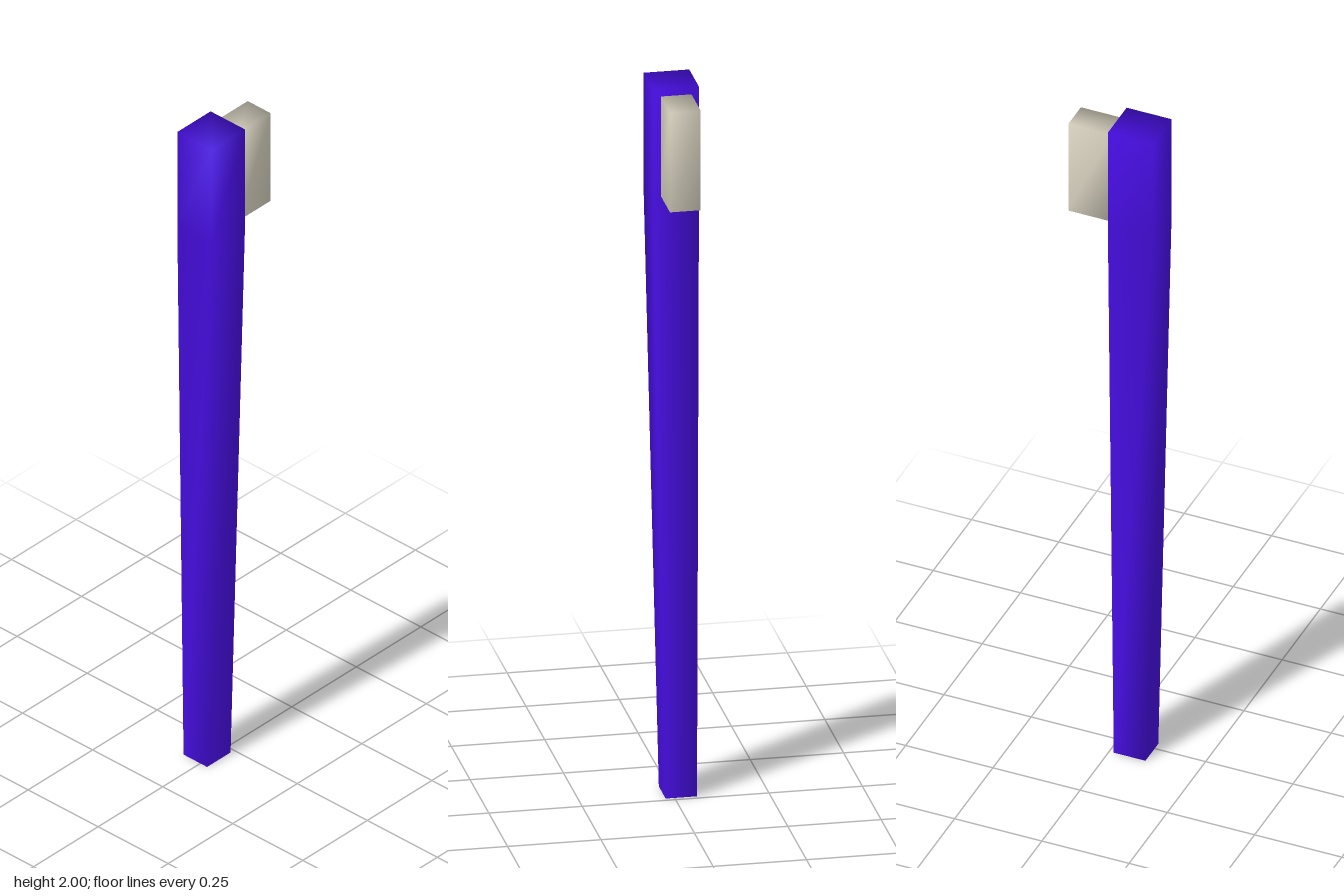
import * as THREE from 'three';
import { mergeVertices } from 'three/addons/utils/BufferGeometryUtils.js';

// Share corners so that the shading runs softly around the edges
function smooth(geometry) {
  geometry.deleteAttribute('normal');
  geometry.deleteAttribute('uv');
  const merged = mergeVertices(geometry);
  merged.computeVertexNormals();
  return merged;
}

// Box given by its extents
function boxBetween(x0, x1, y0, y1, z0, z1, segX = 1, segY = 1, segZ = 1) {
  const g = new THREE.BoxGeometry(x1 - x0, y1 - y0, z1 - z0, segX, segY, segZ);
  return g.translate((x0 + x1) / 2, (y0 + y1) / 2, (z0 + z1) / 2);
}

export function createModel() {
  const purple = new THREE.MeshStandardMaterial({ color: 0x480ee6 });
  purple.name = 'purple';
  const stone = new THREE.MeshStandardMaterial({ color: 0xdcd6c3 });
  stone.name = 'warm grey';

  const group = new THREE.Group();
  group.name = 'tableLeg';

  // Leg: square block at the top, tapering to the foot
  const blockBottom = 1.7;
  const legGeometry = boxBetween(-0.126, 0.003, 0, 2, -0.062, 0.061, 1, 2, 1);
  const p = legGeometry.attributes.position;
  for (let i = 0; i < p.count; i++) {
    const y = p.getY(i);
    if (y < 0.5) {
      p.setX(i, p.getX(i) < -0.06 ? -0.104 : -0.013);
      p.setZ(i, p.getZ(i) < 0 ? -0.06 : 0.024);
    } else if (y < 1.5) {
      p.setY(i, blockBottom);
    }
  }
  const leg = new THREE.Mesh(smooth(legGeometry), purple);
  leg.name = 'leg';
  group.add(leg);

  // Short rail stub fixed to the block
  const rail = new THREE.Mesh(smooth(boxBetween(0.002, 0.125, 1.7, 1.98, -0.042, 0.04)), stone);
  rail.name = 'railStub';
  group.add(rail);

  return group;
}
